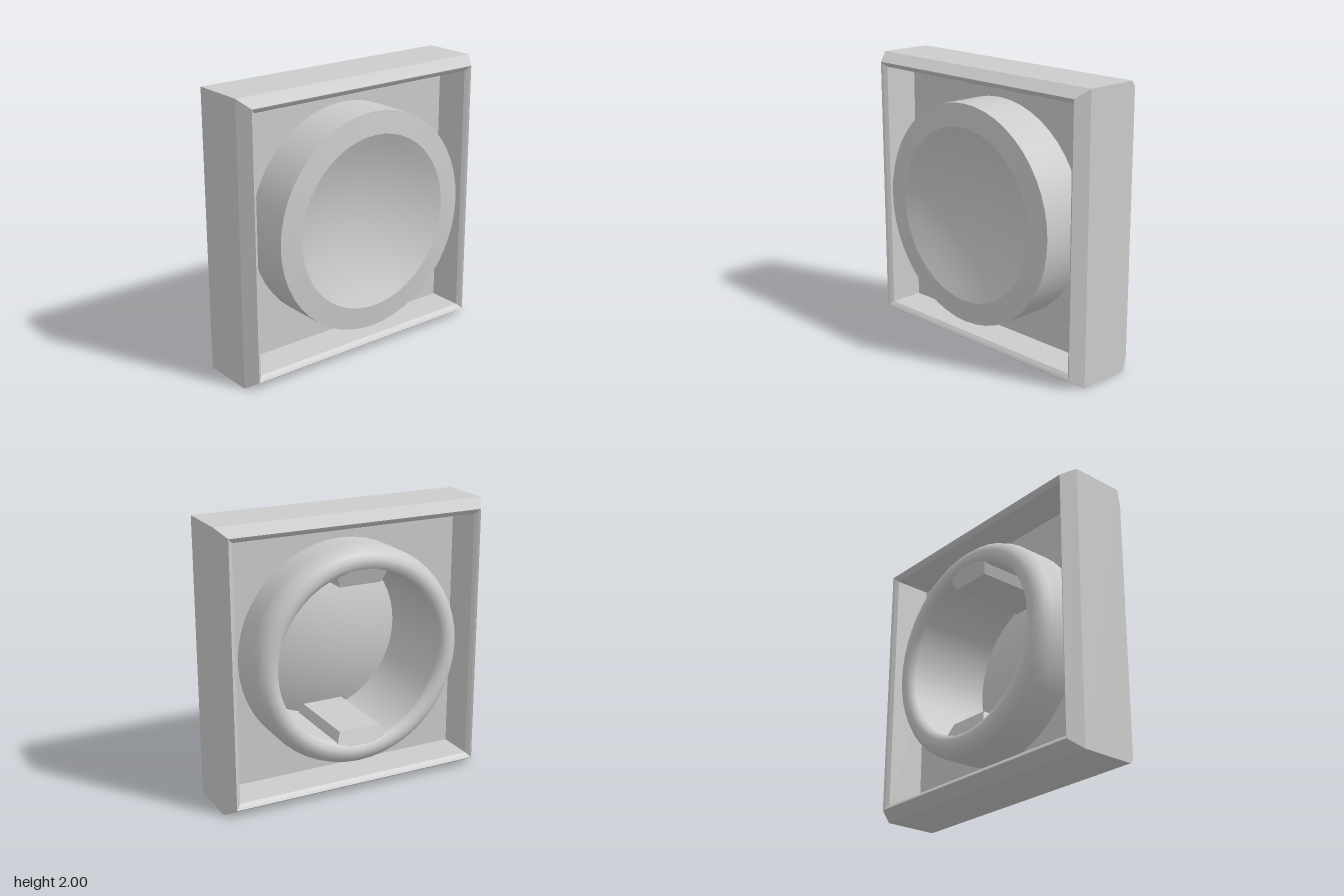
import * as THREE from 'three';

const grey = new THREE.MeshStandardMaterial({ color: 0xcccccc });
const greyDouble = new THREE.MeshStandardMaterial({ color: 0xcccccc, side: THREE.DoubleSide });

// Profile of [radius, z] points turned around the z axis
function turned(profile, segments, phiStart = 0) {
  const points = profile.map(([r, z]) => new THREE.Vector2(r, z));
  return new THREE.LatheGeometry(points, segments, phiStart).rotateX(Math.PI / 2);
}

function add(parent, name, geometry, material = grey) {
  const mesh = new THREE.Mesh(geometry, material);
  mesh.name = name;
  parent.add(mesh);
  return mesh;
}

export function createModel() {
  const model = new THREE.Group();
  model.name = 'framedDial';
  const body = new THREE.Group();
  body.name = 'body';
  body.position.y = 1;
  model.add(body);

  // Square frame: a chamfered cross-section swept round four corners
  const section = [
    [0.905, -0.27], [0.925, -0.29], [0.94, -0.3], [1, -0.2], [1, 0.19],
    [0.94, 0.28], [0.925, 0.27], [0.905, 0.25], [0.905, -0.27],
  ].map(([r, z]) => [r * Math.SQRT2, z]);
  const frame = turned(section, 4, Math.PI / 4).toNonIndexed();
  frame.computeVertexNormals();
  add(body, 'squareFrame', frame);

  // Thin panel across the middle of the frame, open where the barrel passes
  const half = 0.905;
  const panel = new THREE.Shape();
  panel.moveTo(-half, -half).lineTo(half, -half).lineTo(half, half).lineTo(-half, half).closePath();
  panel.holes.push(new THREE.Path().absarc(0, 0, 0.77, 0, Math.PI * 2, true));
  add(body, 'middlePanel', new THREE.ShapeGeometry(panel, 32), greyDouble);

  // Round barrel with a rolled back lip
  const barrel = new THREE.Group();
  barrel.name = 'barrel';
  body.add(barrel);
  add(barrel, 'barrelOuter', turned([
    [0.62, -0.29], [0.63, -0.325], [0.665, -0.345], [0.7, -0.342],
    [0.735, -0.325], [0.765, -0.29], [0.78, -0.24], [0.78, -0.2], [0.78, 0.33],
  ], 48));
  add(barrel, 'frontRim', turned([[0.78, 0.33], [0.62, 0.345]], 48));
  add(barrel, 'barrelInner', turned([[0.62, 0.345], [0.62, -0.29]], 48));

  // Shallow concave dish closing the front
  const dish = [];
  for (let i = 0; i <= 8; i++) {
    const t = 1 - i / 8;
    dish.push([0.62 * t, 0.345 - 0.15 * (1 - t * t)]);
  }
  add(barrel, 'frontDish', turned(dish, 48), greyDouble);

  // Tapered blocks inside the barrel, bottom and top
  for (const [name, turn] of [['bottomBlock', 0], ['topBlock', Math.PI]]) {
    const block = new THREE.BoxGeometry(0.4, 0.11, 0.66).toNonIndexed();
    const p = block.attributes.position;
    for (let i = 0; i < p.count; i++) {
      if (p.getY(i) > 0) {
        p.setX(i, p.getX(i) * 0.78);
        p.setZ(i, p.getZ(i) * 0.88);
      }
    }
    block.translate(0, -0.575, 0).rotateZ(turn);
    block.computeVertexNormals();
    add(barrel, name, block);
  }
  return model;
}
